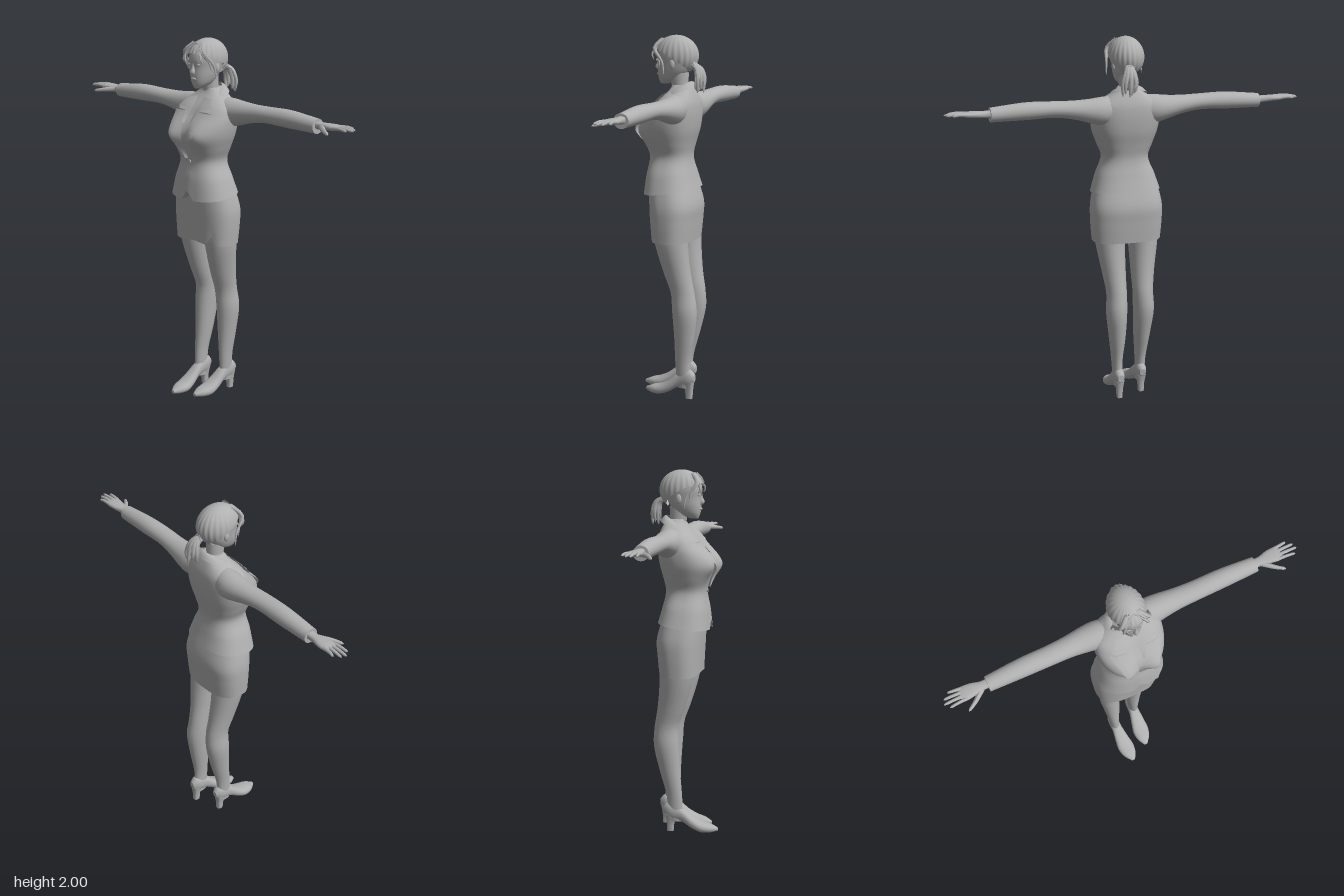
import * as THREE from 'three';

const grey = new THREE.MeshStandardMaterial({ color: 0xb0b0b0, side: THREE.DoubleSide });
grey.name = 'plain grey';

const gauss = (t) => Math.exp(-t * t);
const power = (c, p) => Math.sign(c) * Math.abs(c) ** (2 / p);

// Smooth lookup through rows of [t, ...values]
function track(rows) {
  const f = new THREE.CubicInterpolant(
    new Float32Array(rows.map((r) => r[0])), new Float32Array(rows.flatMap((r) => r.slice(1))), rows[0].length - 1);
  return (t) => Array.from(f.evaluate(t));
}

// Rounded sections along an axis; rows are [t, u0, u1, v0, v1].
// Axis y: u = x, v = z.  Axis x: u = z, v = y.  Axis z: u = y, v = x.
const AXES = { y: (t, u, v) => [u, t, v], x: (t, u, v) => [t, v, u], z: (t, u, v) => [v, u, t] };
function loft(rows, axis, { n = 20, segs = 24, p = 2, caps = true, warp = () => {} } = {}) {
  const at = track(rows), t0 = rows[0][0], t1 = rows[rows.length - 1][0];
  const pos = [], index = [], v3 = new THREE.Vector3();
  const ring = (t) => {
    const [u0, u1, v0, v1] = at(t);
    for (let j = 0; j < n; j++) {
      const a = (j / n) * Math.PI * 2;
      v3.set(...AXES[axis](t, (u0 + u1) / 2 + (u1 - u0) / 2 * power(Math.cos(a), p),
        (v0 + v1) / 2 + (v1 - v0) / 2 * power(Math.sin(a), p)));
      warp(v3, t);
      pos.push(v3.x, v3.y, v3.z);
    }
    return [(u0 + u1) / 2, (v0 + v1) / 2];
  };
  for (let i = 0; i <= segs; i++) ring(t0 + (t1 - t0) * i / segs);
  for (let i = 0; i < segs; i++) for (let j = 0; j < n; j++) {
    const a = i * n + j, b = i * n + (j + 1) % n;
    index.push(a, a + n, b, b, a + n, b + n);
  }
  if (caps) for (const t of [t0, t1]) {
    const base = pos.length / 3;
    const [u, v] = ring(t);
    pos.push(...AXES[axis](t, u, v));
    for (let j = 0; j < n; j++) {
      const a = base + j, b = base + (j + 1) % n;
      index.push(...(t === t0 ? [base + n, a, b] : [base + n, b, a]));
    }
  }
  return surface(pos, index);
}

function surface(pos, index) {
  const g = new THREE.BufferGeometry();
  g.setAttribute('position', new THREE.Float32BufferAttribute(pos, 3));
  g.setIndex(index);
  g.computeVertexNormals();
  return g;
}

// Grid surface from a function of (s, t), both 0 to 1
function sheet(fn, ns, nt) {
  const pos = [], index = [];
  for (let i = 0; i <= ns; i++) for (let j = 0; j <= nt; j++) pos.push(...fn(i / ns, j / nt));
  for (let i = 0; i < ns; i++) for (let j = 0; j < nt; j++) {
    const a = i * (nt + 1) + j, b = a + nt + 1;
    index.push(a, b, a + 1, a + 1, b, b + 1);
  }
  return surface(pos, index);
}

// Tapering tube through points: radius r0 to r1
function strand(points, r0, r1, sides = 8) {
  const curve = new THREE.CatmullRomCurve3(points.map((q) => new THREE.Vector3(...q)));
  const g = new THREE.TubeGeometry(curve, 10, 1, sides), P = g.attributes.position, v = new THREE.Vector3();
  for (let i = 0; i < P.count; i++) {
    const t = Math.floor(i / (sides + 1)) / 10, c = curve.getPointAt(t);
    const r = (r0 + (r1 - r0) * t) * (t === 1 ? 0.25 : 1);
    v.fromBufferAttribute(P, i).sub(c).multiplyScalar(r).add(c);
    P.setXYZ(i, v.x, v.y, v.z);
  }
  g.computeVertexNormals();
  return g;
}

function mirrored(geo) {
  const g = geo.clone().scale(-1, 1, 1), I = g.index;
  for (let i = 0; i < I.count; i += 3) {
    const a = I.getX(i);
    I.setX(i, I.getX(i + 1));
    I.setX(i + 1, a);
  }
  return g;
}

// Jacket body sections [y, x0, x1, z0, z1] with bust shaping
const JACKET = [[1.16, 0.19, -0.14, 0.145], [1.25, 0.162, -0.118, 0.135], [1.35, 0.126, -0.1, 0.12],
  [1.42, 0.15, -0.112, 0.135], [1.49, 0.175, -0.13, 0.152], [1.55, 0.185, -0.138, 0.135], [1.6, 0.185, -0.14, 0.1],
  [1.645, 0.17, -0.136, 0.068], [1.68, 0.125, -0.125, 0.035], [1.71, 0.078, -0.112, 0.01], [1.735, 0.052, -0.1, 0]]
  .map(([y, w, b, f]) => [y, -w, w, b, f]);
const bust = (x, y) => 0.03 * gauss((Math.abs(x) - 0.085) / 0.06) * gauss((y - 1.49) / 0.07);
const jacketAt = track(JACKET);
function frontZ(x, y) {
  const [, w, b, f] = jacketAt(y), u = Math.min(1, Math.abs(x) / w);
  return (b + f) / 2 + (f - b) / 2 * (1 - u ** 2.5) ** 0.4 + bust(x, y);
}

// Thin plate lying on the jacket front; rows [y, inner x, outer x]
function frontPlate(rows, lift) {
  const steps = (rows.length - 1) * 5;
  return sheet((s, t) => {
    const k = Math.min(rows.length - 2, Math.floor(s * (rows.length - 1) + 1e-6)), f = s * (rows.length - 1) - k;
    const [y, xi, xo] = rows[k].map((q, m) => q + (rows[k + 1][m] - q) * f);
    const x = xi + (xo - xi) * t;
    return [x, y, frontZ(x, y) + lift * (0.5 + t)];
  }, steps, 6);
}

export function createModel() {
  const model = new THREE.Group();
  const add = (name, geo) => {
    const m = new THREE.Mesh(geo, grey);
    m.name = name;
    model.add(m);
    return m;
  };
  const pair = (name, geo) => {
    add('left ' + name, geo);
    add('right ' + name, mirrored(geo));
  };

  // Jacket with sloped hem and a small front opening
  add('jacket', loft(JACKET, 'y', { n: 64, segs: 44, p: 2.5, warp: (v, t) => {
    if (v.z > 0) v.z += bust(v.x, t);
    const hem = Math.max(0, 1 - (t - 1.16) / 0.15);
    v.y -= 0.13 * v.z * hem;
    if (v.z > 0) v.y += 0.07 * hem * Math.max(0, 1 - Math.abs(v.x - 0.01) / 0.035);
  } }));
  pair('lapel', frontPlate([[1.685, 0.045, 0.08], [1.635, 0.036, 0.125], [1.622, 0.034, 0.095],
    [1.615, 0.033, 0.14], [1.52, 0.02, 0.1], [1.44, 0.01, 0.055], [1.37, 0, 0.008]], 0.012));
  pair('shirt collar', frontPlate([[1.69, 0.025, 0.05], [1.63, 0.012, 0.055], [1.56, 0.02, 0.03]], 0.008));
  add('jacket collar', sheet((s, t) => {
    const a = (s - 0.5) * Math.PI * 1.55, c = Math.cos(a), r = 0.058 + 0.05 * t;
    return [r * Math.sin(a), 1.755 - 0.03 * t - 0.033 * (1 - c) + 0.008 * Math.sin(t * Math.PI), -0.042 - (0.06 + 0.03 * t) * c];
  }, 28, 4));
  add('button', new THREE.CylinderGeometry(0.01, 0.01, 0.008, 12).rotateX(Math.PI / 2)
    .translate(0.005, 1.35, frontZ(0, 1.35) + 0.003));

  // Skirt with a slit on the left thigh
  add('skirt', loft([[0.89, -0.19, 0.19, -0.13, 0.095], [1, -0.198, 0.198, -0.14, 0.1],
    [1.08, -0.198, 0.198, -0.145, 0.105], [1.2, -0.175, 0.175, -0.115, 0.11]], 'y', {
    n: 64, p: 2.6, caps: false, warp: (v, t) => {
      const hem = Math.max(0, 1 - (t - 0.89) / 0.12);
      if (v.z > 0) v.y += hem * (0.06 * Math.max(0, 1 - Math.abs(v.x - 0.13) / 0.035) + 0.015 * gauss(v.x / 0.09));
    } }));

  // Sleeves and hands
  pair('sleeve', loft([[0.08, -0.12, 0.02, 1.54, 1.69], [0.15, -0.133, 0.015, 1.535, 1.688], [0.2, -0.13, 0.008, 1.548, 1.682],
    [0.3, -0.115, 0, 1.575, 1.676], [0.4, -0.106, 0, 1.59, 1.677], [0.55, -0.105, -0.003, 1.587, 1.68],
    [0.75, -0.095, -0.012, 1.585, 1.662]], 'x', { segs: 30 }));
  pair('hand', loft([[0.73, -0.08, -0.03, 1.608, 1.65], [0.78, -0.08, -0.03, 1.611, 1.647], [0.83, -0.092, -0.02, 1.616, 1.648],
    [0.88, -0.094, -0.014, 1.62, 1.646], [0.898, -0.088, -0.02, 1.626, 1.642]], 'x', { segs: 14, p: 2.4 }));
  [[-0.084, -0.094, 0.948], [-0.064, -0.068, 0.978], [-0.044, -0.043, 0.987], [-0.024, -0.016, 0.965]].forEach(([z, tip, x], i) =>
    pair('finger ' + (i + 1), strand([[0.87, 1.634, z], [0.92, 1.637, (z + tip) / 2], [x, 1.632, tip]], 0.0105, 0.007)));
  pair('thumb', strand([[0.785, 1.626, -0.04], [0.84, 1.62, 0.005], [0.888, 1.612, 0.034]], 0.016, 0.008));

  // Legs and heeled shoes; the right foot stands slightly forward
  const leg = loft([[0.06, 0.05, 0.095, -0.14, -0.055], [0.12, 0.047, 0.1, -0.136, -0.05], [0.2, 0.045, 0.105, -0.132, -0.045],
    [0.35, 0.03, 0.122, -0.155, -0.04], [0.5, 0.022, 0.137, -0.17, -0.03], [0.6, 0.02, 0.132, -0.155, -0.02],
    [0.7, 0.018, 0.145, -0.137, 0.015], [0.88, 0.012, 0.175, -0.12, 0.065], [1, 0, 0.185, -0.12, 0.08]], 'y', { segs: 36 });
  const shoe = loft([[-0.158, 0.1, 0.14, 0.056, 0.089], [-0.135, 0.078, 0.165, 0.045, 0.1], [-0.06, 0.058, 0.14, 0.04, 0.102],
    [0, 0.022, 0.09, 0.026, 0.11], [0.05, 0.004, 0.062, 0.016, 0.113], [0.1, 0.004, 0.048, 0.024, 0.098],
    [0.14, 0.012, 0.03, 0.046, 0.068]], 'z', { p: 2.3 });
  const heel = loft([[0, 0.057, 0.088, -0.145, -0.108], [0.05, 0.054, 0.091, -0.147, -0.103],
    [0.1, 0.045, 0.1, -0.155, -0.085]], 'y', { n: 12, segs: 4, p: 3 });
  for (const [name, geo] of [['leg', leg], ['shoe', shoe], ['shoe heel', heel]]) {
    add('left ' + name, geo);
    const g = mirrored(geo), P = g.attributes.position;
    for (let i = 0; i < P.count; i++) P.setZ(i, P.getZ(i) + 0.058 * Math.min(1, Math.max(0, 1.15 - P.getY(i) / 0.52)));
    g.computeVertexNormals();
    add('right ' + name, g);
  }

  // Neck, head and face
  add('neck', loft([[1.62, -0.06, 0.06, -0.1, 0.03], [1.7, -0.044, 0.044, -0.085, 0.006],
    [1.8, -0.045, 0.045, -0.085, 0.025]], 'y', { segs: 10 }));
  add('head', loft([[1.738, -0.02, 0.02, 0.03, 0.072], [1.76, -0.043, 0.043, -0.03, 0.082], [1.8, -0.061, 0.061, -0.075, 0.088],
    [1.85, -0.07, 0.07, -0.1, 0.088], [1.9, -0.075, 0.075, -0.11, 0.092], [1.95, -0.065, 0.065, -0.09, 0.07],
    [1.98, -0.03, 0.03, -0.05, 0.02]], 'y', { n: 28, p: 2.2 }));
  add('nose', loft([[1.812, -0.011, 0.011, 0.07, 0.094], [1.822, -0.014, 0.014, 0.07, 0.107], [1.85, -0.008, 0.008, 0.07, 0.098],
    [1.88, -0.006, 0.006, 0.07, 0.09]], 'y', { n: 10, segs: 8 }));
  add('lips', new THREE.SphereGeometry(1, 14, 8).scale(0.02, 0.008, 0.008).translate(0, 1.79, 0.086));
  pair('eye', new THREE.SphereGeometry(1, 12, 8).scale(0.015, 0.007, 0.006).translate(0.031, 1.865, 0.082));
  pair('ear', new THREE.SphereGeometry(1, 10, 8).scale(0.01, 0.026, 0.016).translate(0.071, 1.845, -0.02));

  // Hair cap, longer toward the back, with combed ridges
  add('hair', sheet((s, t) => {
    const a = s * Math.PI * 2, c = Math.cos(a);
    const th = t * (1.72 - 0.62 * c + 0.12 * Math.cos(2 * a)), r = 1 + 0.018 * Math.sin(a * 22) * Math.sin(th);
    return [0.094 * r * Math.sin(th) * Math.sin(a), 1.89 + 0.109 * Math.cos(th), -0.018 + 0.121 * r * Math.sin(th) * c];
  }, 132, 18));
  // Loose fringe strands framing the face
  const fringe = [[0.02, 0.06, 0.085, 1.83, 0.04], [0.03, 0.075, 0.094, 1.79, 0.015], [0.01, 0.045, 0.065, 1.87, 0.085]];
  fringe.forEach(([x0, x1, x2, y, z], i) => pair('fringe strand ' + (i + 1),
    strand([[x0, 1.975, 0.05], [x1, 1.93, 0.08], [x2, (1.93 + y) / 2, z + 0.012], [x2 + 0.005, y, z]], 0.014, 0.003, 6)));
  add('stray strand', strand([[-0.02, 1.97, 0.06], [-0.055, 1.92, 0.092], [-0.04, 1.86, 0.1]], 0.012, 0.002, 6));

  // Ponytail gathered low at the back
  add('hair tie', new THREE.TorusGeometry(0.02, 0.008, 8, 16).rotateX(0.4).translate(0.015, 1.838, -0.135));
  for (let i = 0; i < 9; i++) {
    const a = (i / 8) * Math.PI * 2, r = i === 8 ? 0 : 1, x = r * Math.cos(a), z = r * Math.sin(a);
    add('ponytail strand ' + (i + 1), strand([[0.015 + 0.008 * x, 1.84, -0.125], [0.02 + 0.02 * x, 1.82, -0.155 + 0.012 * z],
      [0.026 + 0.038 * x, 1.765, -0.168 + 0.02 * z], [0.032 + 0.03 * x, 1.7 + 0.015 * (i % 3), -0.165 + 0.022 * z]],
    0.017, 0.006, 7));
  }
  return model;
}
